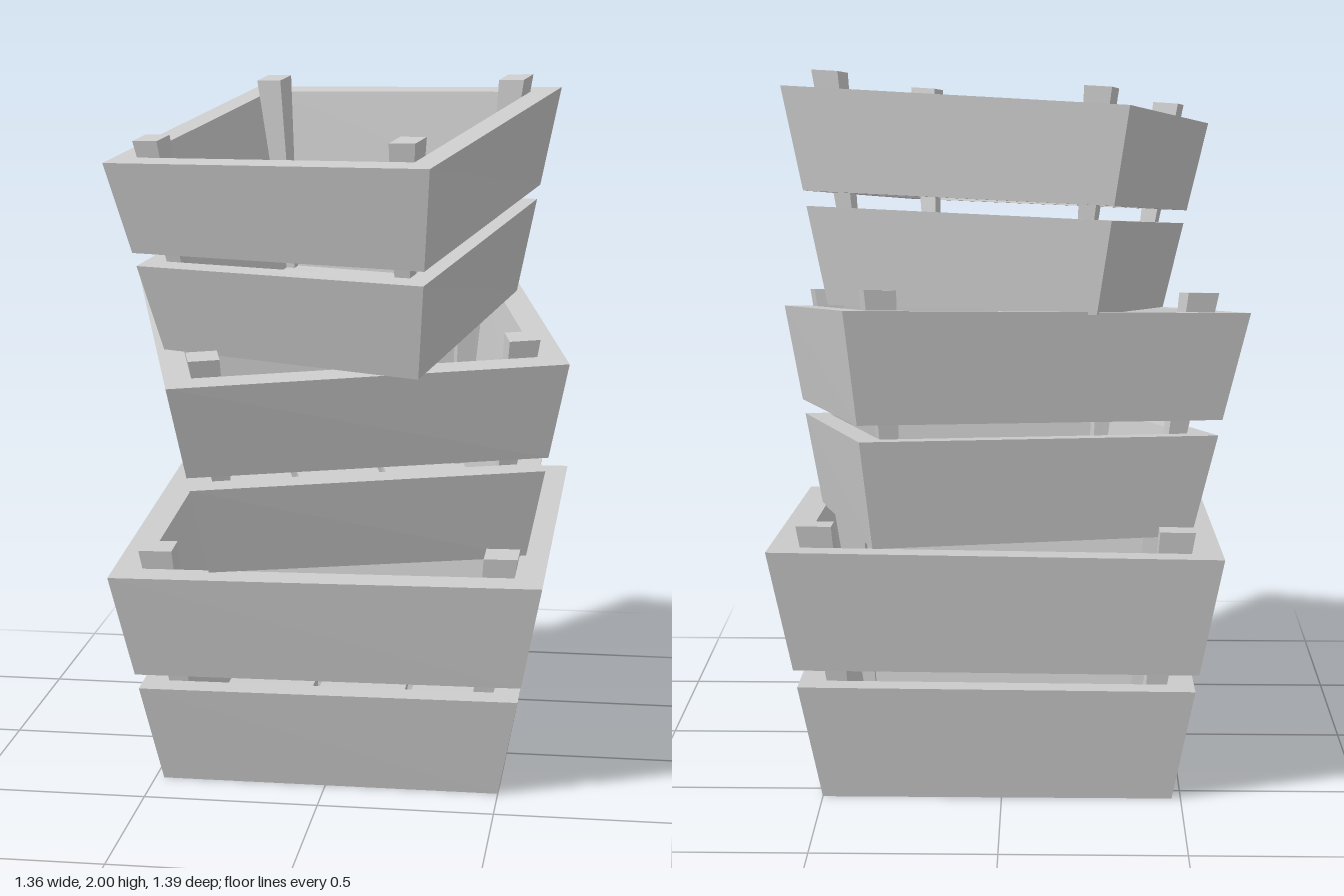
import * as THREE from 'three';

const material = new THREE.MeshStandardMaterial({ color: 0xcccccc, flatShading: true });

// Outer corners of each crate, in order: (u0 v0), (u1 v0), (u1 v1), (u0 v1)
const crates = [
  {
    name: 'bottomCrate',
    base: [[-0.475, 0, -0.565], [0.5, 0, -0.565], [0.5, 0, 0.34], [-0.475, 0, 0.34]],
    rim: [[-0.606, 0.715, -0.674], [0.637, 0.73, -0.674], [0.624, 0.652, 0.47], [-0.6, 0.64, 0.479]],
  },
  {
    name: 'middleCrate',
    base: [[-0.53, 0.712, -0.388], [0.35, 0.727, -0.618], [0.56, 0.665, 0.19], [-0.32, 0.65, 0.42]],
    rim: [[-0.684, 1.347, -0.405], [0.418, 1.395, -0.695], [0.68, 1.255, 0.309], [-0.398, 1.215, 0.604]],
  },
  {
    name: 'topCrate',
    base: [[-0.47, 1.26, 0.27], [-0.258, 1.36, -0.53], [0.49, 1.353, -0.316], [0.278, 1.236, 0.485]],
    rim: [[-0.607, 1.803, 0.405], [-0.341, 1.93, -0.587], [0.613, 1.963, -0.32], [0.326, 1.835, 0.692]],
  },
];

const WALL_U = 0.068, WALL_V = 0.074; // wall thickness as a share of the crate's size

// Point inside a crate: u, v across it, t from base (0) to rim (1)
function cratePoint({ base, rim }, u, v, t) {
  const weights = [(1 - u) * (1 - v), u * (1 - v), u * v, (1 - u) * v];
  const p = new THREE.Vector3();
  weights.forEach((w, i) => {
    p.addScaledVector(new THREE.Vector3(...base[i]), w * (1 - t));
    p.addScaledVector(new THREE.Vector3(...rim[i]), w * t);
  });
  return p;
}

// Bend a geometry into a crate; rule turns its x, y, z into [u, v, t]
function fitted(name, geometry, crate, rule) {
  const g = geometry.index ? geometry.toNonIndexed() : geometry;
  const pos = g.attributes.position;
  for (let i = 0; i < pos.count; i++) {
    const p = cratePoint(crate, ...rule(pos.getX(i), pos.getY(i), pos.getZ(i)));
    pos.setXYZ(i, p.x, p.y, p.z);
  }
  g.computeVertexNormals();
  const mesh = new THREE.Mesh(g, material);
  mesh.name = name;
  return mesh;
}

function rectangle(PathType, hx, hy) {
  return new PathType([[-hx, -hy], [hx, -hy], [hx, hy], [-hx, hy]].map(([x, y]) => new THREE.Vector2(x, y)));
}

// Four side boards joined into one closed frame
function boardFrame(crate, name, t0, t1) {
  const shape = rectangle(THREE.Shape, 0.5, 0.5);
  shape.holes.push(rectangle(THREE.Path, 0.5 - WALL_U, 0.5 - WALL_V));
  const g = new THREE.ExtrudeGeometry(shape, { depth: 1, bevelEnabled: false }).rotateX(-Math.PI / 2);
  return fitted(name, g, crate, (x, y, z) => [x + 0.5, z + 0.5, t0 + y * (t1 - t0)]);
}

// Corner post that widens upwards and stands above the rim
function cornerPost(crate, su, sv) {
  return fitted('cornerPost', new THREE.BoxGeometry(1, 1, 1), crate, (x, y, z) => {
    const t = y < 0 ? 0.02 : 1.085;
    const width = 0.03 + 0.043 * t;
    return [
      0.5 + su * (0.5 - WALL_U - width * (0.5 - su * x)),
      0.5 + sv * (0.5 - WALL_V - width * (0.5 - sv * z)),
      t,
    ];
  });
}

// One of three floor boards
function floorBoard(crate, i) {
  const gap = 0.022;
  const step = (1 - 2 * WALL_U + gap) / 3;
  const u0 = WALL_U + i * step;
  return fitted('floorBoard', new THREE.BoxGeometry(1, 1, 1), crate, (x, y, z) => [
    u0 + (x + 0.5) * (step - gap),
    0.5 + z * (1 - 2 * WALL_V),
    y < 0 ? 0.015 : 0.07,
  ]);
}

export function createModel() {
  const model = new THREE.Group();
  model.name = 'stackedCrates';
  for (const crate of crates) {
    const group = new THREE.Group();
    group.name = crate.name;
    group.add(boardFrame(crate, 'lowerBoards', 0, 0.455));
    group.add(boardFrame(crate, 'upperBoards', 0.525, 1));
    for (const su of [-1, 1]) for (const sv of [-1, 1]) group.add(cornerPost(crate, su, sv));
    for (let i = 0; i < 3; i++) group.add(floorBoard(crate, i));
    model.add(group);
  }
  return model;
}
